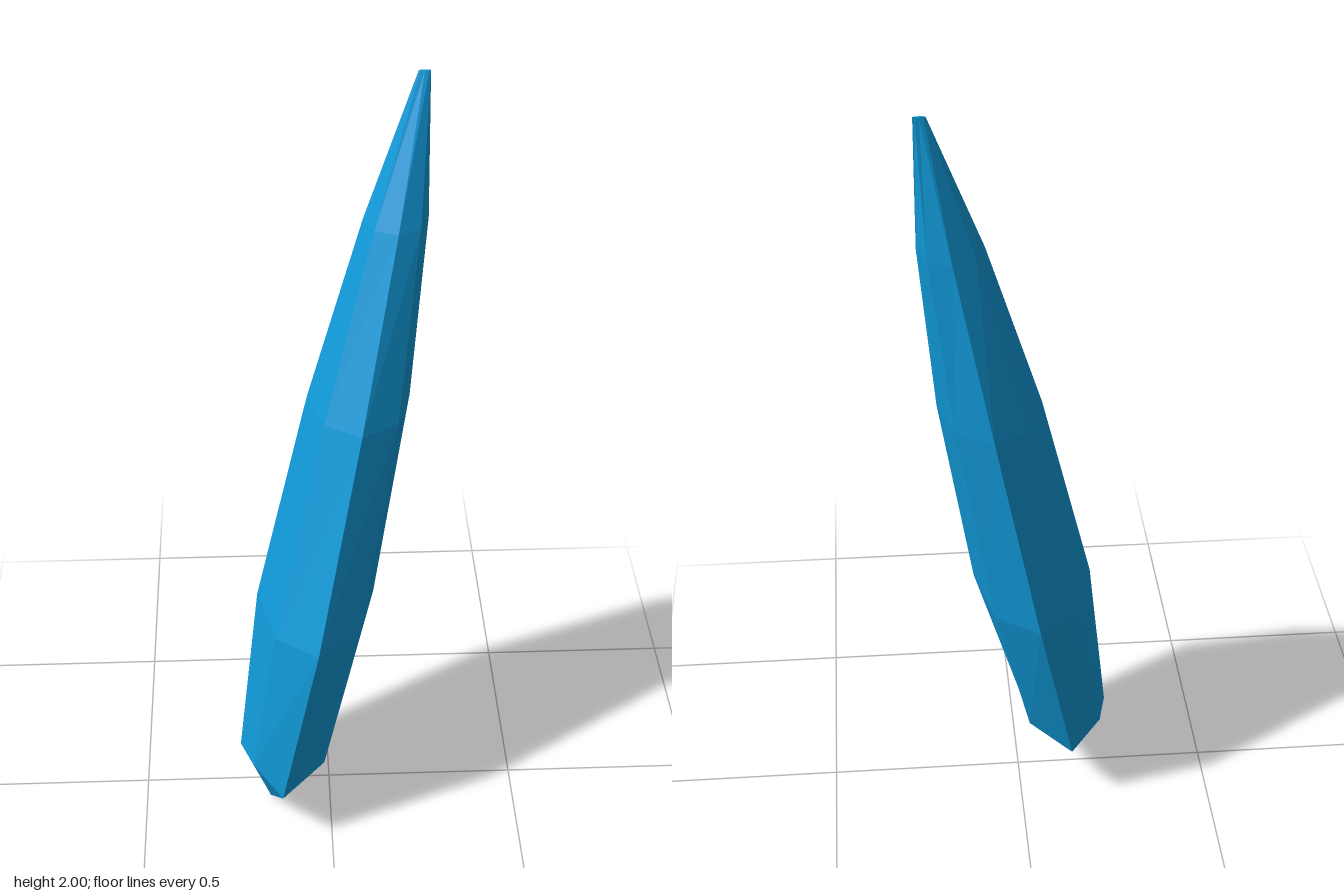
import * as THREE from 'three';

const SIDES = 8;

// Cross-sections: centre x, y, z, then half-width in x and in z.
const BASE_LOW = [-0.13, 0.175, 0.048, 0.11, 0.213]; // even corners of the cut base
const BASE_HIGH = [-0.113, 0.252, 0.04, 0.131, 0.24]; // odd corners of the cut base
const SECTIONS = [
  [-0.035, 0.652, -0.004, 0.15, 0.26],
  [0.075, 1.21, -0.075, 0.126, 0.187],
  [0.163, 1.66, -0.143, 0.077, 0.092],
  [0.226, 2, -0.204, 0.014, 0.003],
];
const FOOT = [-0.162, 0, 0.07];

function corner([cx, y, cz, rx, rz], i) {
  const a = (i / SIDES) * Math.PI * 2;
  return [cx + Math.sin(a) * rx, y, cz + Math.cos(a) * rz];
}

function shardGeometry() {
  const ids = [...Array(SIDES).keys()];
  // The lowest ring zigzags, so the four foot facets meet the eight sides.
  const rings = [ids.map((i) => corner(i % 2 ? BASE_HIGH : BASE_LOW, i))];
  for (const s of SECTIONS) rings.push(ids.map((i) => corner(s, i)));

  const positions = [];
  const tri = (a, b, c) => positions.push(...a, ...b, ...c);
  const top = rings[rings.length - 1];
  const [tx, ty, tz] = SECTIONS[SECTIONS.length - 1];
  for (const i of ids) {
    const j = (i + 1) % SIDES;
    tri(FOOT, rings[0][j], rings[0][i]); // foot facets
    for (let r = 0; r < rings.length - 1; r++) { // long side facets
      tri(rings[r][i], rings[r][j], rings[r + 1][j]);
      tri(rings[r][i], rings[r + 1][j], rings[r + 1][i]);
    }
    tri(top[i], top[j], [tx, ty, tz]); // tip cap
  }
  const geometry = new THREE.BufferGeometry();
  geometry.setAttribute('position', new THREE.Float32BufferAttribute(positions, 3));
  geometry.computeVertexNormals();
  return geometry;
}

export function createModel() {
  const group = new THREE.Group();
  group.name = 'crystal';
  const material = new THREE.MeshStandardMaterial({ color: 0x1199d8, flatShading: true });
  const shard = new THREE.Mesh(shardGeometry(), material);
  shard.name = 'crystalShard';
  group.add(shard);
  return group;
}
